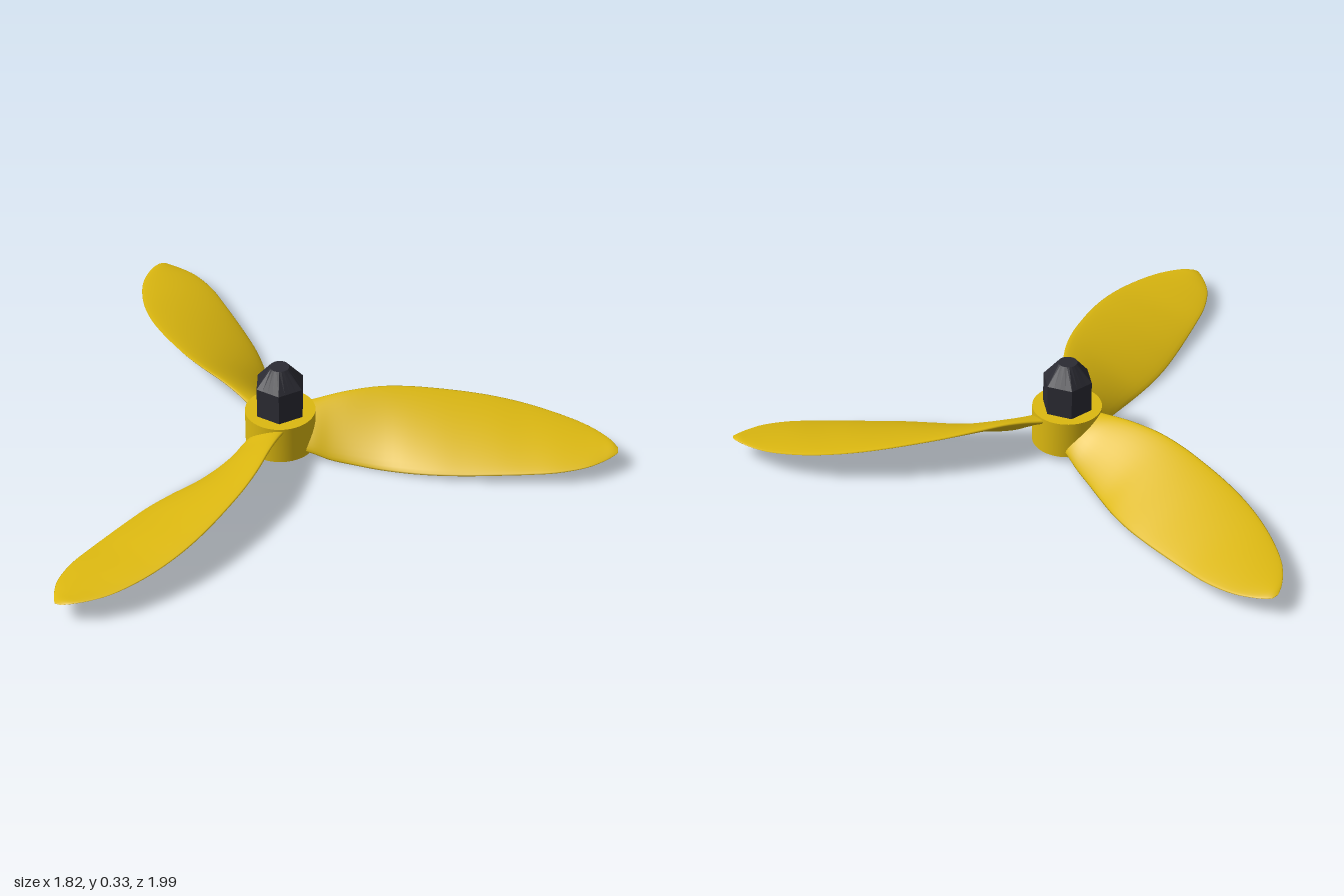
import * as THREE from 'three';

const yellow = new THREE.MeshStandardMaterial({ color: 0xdcb810 });
yellow.name = 'yellow paint';
const dark = new THREE.MeshStandardMaterial({ color: 0x2b2b33 });
dark.name = 'dark metal';

// Blade stations along the span: [radius, leading z, trailing z, leading y, trailing y, half thickness]
const STATIONS = [
  [0.05, -0.065, 0.07, 0.145, 0.05, 0.018],
  [0.11, -0.075, 0.083, 0.155, 0.04, 0.018],
  [0.17, -0.088, 0.092, 0.166, 0.02, 0.017],
  [0.235, -0.104, 0.104, 0.173, 0.012, 0.016],
  [0.335, -0.128, 0.13, 0.174, 0.009, 0.015],
  [0.435, -0.141, 0.16, 0.167, 0.017, 0.014],
  [0.535, -0.144, 0.18, 0.157, 0.025, 0.013],
  [0.635, -0.142, 0.19, 0.146, 0.032, 0.012],
  [0.735, -0.133, 0.196, 0.134, 0.04, 0.011],
  [0.835, -0.113, 0.2, 0.121, 0.048, 0.009],
  [0.935, -0.08, 0.2, 0.108, 0.057, 0.008],
  [1.035, -0.03, 0.18, 0.097, 0.066, 0.006],
  [1.09, 0.015, 0.152, 0.092, 0.071, 0.005],
  [1.125, 0.055, 0.127, 0.088, 0.075, 0.004],
  [1.143, 0.085, 0.11, 0.083, 0.079, 0.001],
];

// Skin closed rings of points, capping both ends
function loft(rings) {
  const n = rings[0].length, pos = [], idx = [];
  rings.forEach((ring) => ring.forEach((p) => pos.push(p.x, p.y, p.z)));
  for (let i = 0; i < rings.length - 1; i++) {
    for (let j = 0; j < n; j++) {
      const a = i * n + j, b = i * n + ((j + 1) % n);
      idx.push(a, b, a + n, b, b + n, a + n);
    }
  }
  const last = (rings.length - 1) * n;
  for (let j = 1; j < n - 1; j++) {
    idx.push(0, j + 1, j, last, last + j, last + j + 1);
  }
  const geo = new THREE.BufferGeometry();
  geo.setAttribute('position', new THREE.Float32BufferAttribute(pos, 3));
  geo.setIndex(idx);
  geo.computeVertexNormals();
  return geo;
}

// Twisted, slightly cambered blade pointing along +x
function bladeGeometry() {
  const curve = (f) => new THREE.CatmullRomCurve3(STATIONS.map(f));
  const lead = curve((s) => new THREE.Vector3(s[0], s[3], s[1]));
  const trail = curve((s) => new THREE.Vector3(s[0], s[4], s[2]));
  const thick = curve((s) => new THREE.Vector3(s[0], s[5], 0));
  const rings = [], steps = 56, sides = 28;
  for (let i = 0; i <= steps; i++) {
    const t = i / steps;
    const a = lead.getPoint(t), b = trail.getPoint(t), h = thick.getPoint(t).y;
    const chord = b.clone().sub(a);
    const up = new THREE.Vector3(0, chord.z, -chord.y).normalize();
    const ring = [];
    for (let j = 0; j < sides; j++) {
      const ang = (j / sides) * Math.PI * 2;
      const c = (1 - Math.cos(ang)) / 2;
      const lift = h * Math.sin(ang) + h * 0.6 * 4 * c * (1 - c);
      ring.push(a.clone().addScaledVector(chord, c).addScaledVector(up, lift));
    }
    rings.push(ring);
  }
  return loft(rings);
}

// Nut top that blends from a hexagon to a small circle
function noseGeometry(y0, y1, hexRadius, topRadius) {
  const sides = 24, bottom = [], top = [];
  const sector = Math.PI / 3;
  for (let j = 0; j < sides; j++) {
    const ang = (j / sides) * Math.PI * 2;
    const off = (ang % sector) - sector / 2;
    const r = (hexRadius * Math.cos(sector / 2)) / Math.cos(off);
    bottom.push(new THREE.Vector3(Math.sin(ang) * r, y0, Math.cos(ang) * r));
    top.push(new THREE.Vector3(Math.sin(ang) * topRadius, y1, Math.cos(ang) * topRadius));
  }
  const geo = loft([bottom, top]).toNonIndexed();
  geo.computeVertexNormals();
  return geo;
}

export function createModel() {
  const model = new THREE.Group();
  model.name = 'propeller';
  const add = (name, geo, mat, y = 0) => {
    const mesh = new THREE.Mesh(geo, mat);
    mesh.name = name;
    mesh.position.y = y;
    model.add(mesh);
    return mesh;
  };

  // Hub
  add('hub', new THREE.CylinderGeometry(0.12, 0.12, 0.135, 48), yellow, 0.0965);

  // Three blades around the hub
  const blade = bladeGeometry();
  for (let i = 0; i < 3; i++) {
    add('blade' + (i + 1), blade, yellow).rotation.y = (i * Math.PI * 2) / 3;
  }

  // Hexagonal nut and its tapered nose
  const hex = new THREE.CylinderGeometry(0.088, 0.088, 0.115, 6).toNonIndexed();
  hex.computeVertexNormals();
  add('nut', hex, dark, 0.2175);
  add('nutNose', noseGeometry(0.275, 0.34, 0.088, 0.033), dark);

  // Centre the overall bounds
  model.children.forEach((m) => {
    m.position.x -= 0.235;
    m.position.z += 0.04;
  });
  return model;
}
